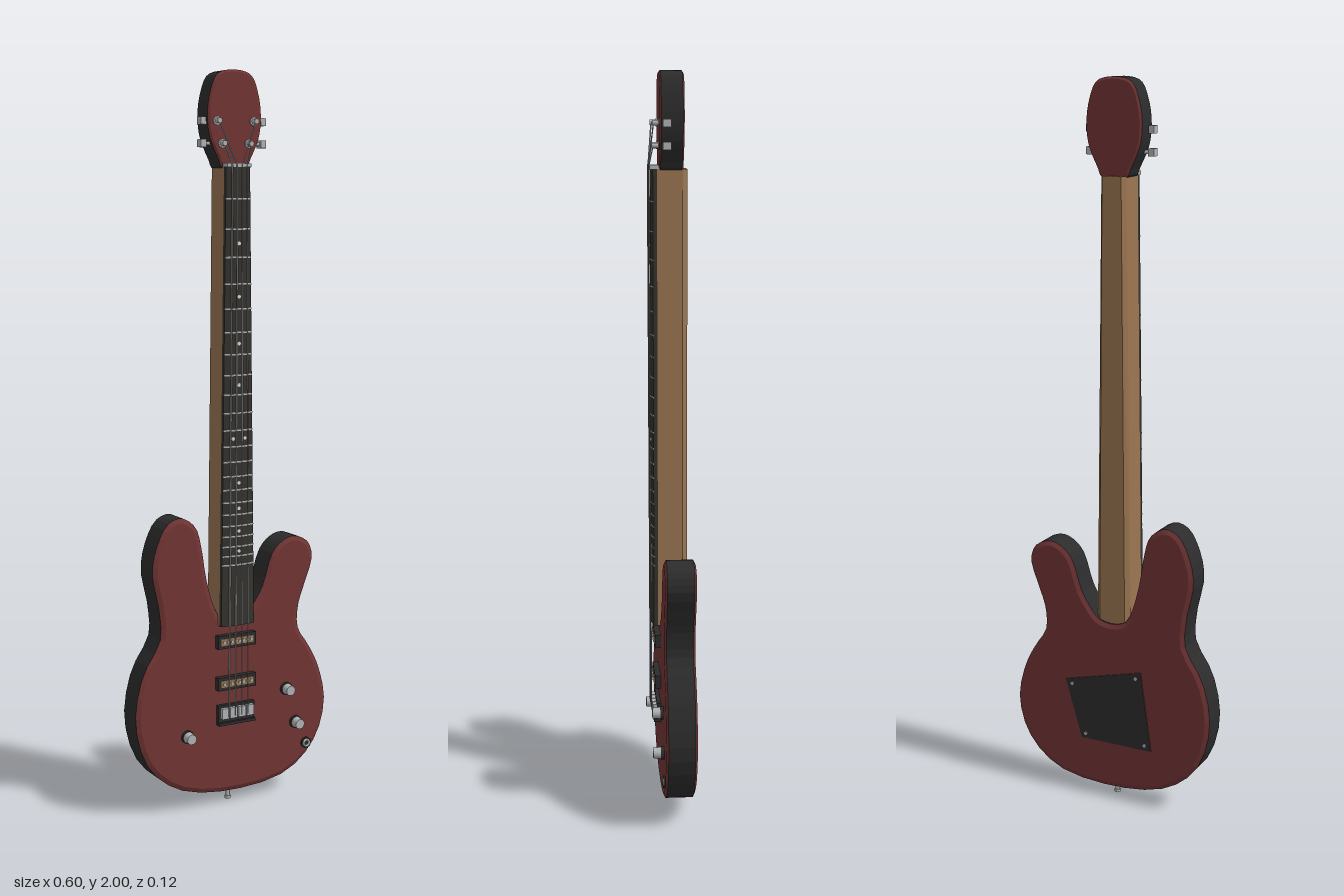
import * as THREE from 'three';

const mat = (name, color) => Object.assign(new THREE.MeshStandardMaterial({ color }), { name });
const V = (x, y, z) => new THREE.Vector3(x, y, z);

export function createModel() {
  const red = mat('red lacquer', 0x733535), black = mat('black', 0x2c2c2c), wood = mat('maple', 0x9c7652);
  const board = mat('dark fretboard', 0x35332e), metal = mat('metal', 0xb2b4b6), pale = mat('inlay white', 0xd8d8d4);
  const model = new THREE.Group();
  model.name = 'electricBass';

  const add = (name, geo, material, x = 0, y = 0, z = 0, parent = model) => {
    const m = new THREE.Mesh(geo, material);
    m.name = name;
    m.position.set(x, y, z);
    parent.add(m);
    return m;
  };
  const group = (name) => {
    const g = new THREE.Group();
    g.name = name;
    model.add(g);
    return g;
  };
  const box = (w, h, d) => new THREE.BoxGeometry(w, h, d);
  // Cylinder whose axis points to the front
  const disc = (r, d, n = 16) => new THREE.CylinderGeometry(r, r, d, n).rotateX(Math.PI / 2);
  // Thin round bar between two points
  const rod = (name, a, b, r, material, parent, n = 6) => {
    const m = add(name, new THREE.CylinderGeometry(r, r, a.distanceTo(b), n), material, 0, 0, 0, parent);
    m.position.copy(a).add(b).multiplyScalar(0.5);
    m.quaternion.setFromUnitVectors(V(0, 1, 0), b.clone().sub(a).normalize());
  };
  const smoothShape = (pts, n) => {
    const curve = new THREE.CatmullRomCurve3(pts.map(([x, y]) => V(x, y, 0)), true);
    return new THREE.Shape(curve.getPoints(n).slice(0, -1).map((p) => new THREE.Vector2(p.x, p.y)));
  };
  // Bevelled slab from z0 to z1: faces and bevels get material 0, upright sides material 1
  const slab = (shape, z0, z1, bevel, size) => {
    const geo = new THREE.ExtrudeGeometry(shape, {
      depth: z1 - z0 - 2 * bevel, bevelThickness: bevel, bevelSize: size, bevelOffset: -size, bevelSegments: 1,
    }).translate(0, 0, z0 + bevel);
    geo.clearGroups();
    const nrm = geo.attributes.normal;
    let start = 0;
    const kind = (i) => (Math.abs(nrm.getZ(i)) > 0.25 ? 0 : 1);
    for (let i = 3; i <= nrm.count; i += 3) {
      if (i === nrm.count || kind(i) !== kind(start)) {
        geo.addGroup(start, i - start, kind(start));
        start = i;
      }
    }
    return geo;
  };
  // Half width of the tapering neck at a height
  const NUT = 1.75, END = 0.515, BRIDGE = 0.27;
  const halfWidth = (y) => THREE.MathUtils.mapLinear(y, END, NUT, 0.051, 0.036);
  // Cross-section of [x as a share of half width, z] swept up the taper
  const tapered = (section, y0, y1) => {
    const shape = new THREE.Shape(section.map(([x, z]) => new THREE.Vector2(x, -z)));
    const geo = new THREE.ExtrudeGeometry(shape, { depth: y1 - y0, bevelEnabled: false })
      .rotateX(-Math.PI / 2).translate(0, y0, 0);
    const p = geo.attributes.position;
    for (let i = 0; i < p.count; i++) p.setX(i, p.getX(i) * halfWidth(p.getY(i)));
    geo.computeVertexNormals();
    return geo;
  };

  // Body with two horns and a neck pocket
  const outline = [
    [0, 0.525], [0.04, 0.535], [0.066, 0.565], [0.093, 0.61], [0.122, 0.695], [0.152, 0.727], [0.19, 0.74],
    [0.237, 0.72], [0.252, 0.675], [0.228, 0.6], [0.208, 0.54], [0.207, 0.475], [0.242, 0.42], [0.275, 0.355],
    [0.297, 0.25], [0.265, 0.14], [0.175, 0.06], [0, 0.035], [-0.165, 0.063], [-0.26, 0.14], [-0.3, 0.27],
    [-0.278, 0.4], [-0.225, 0.495], [-0.228, 0.58], [-0.247, 0.68], [-0.232, 0.755], [-0.2, 0.81],
    [-0.16, 0.823], [-0.118, 0.795], [-0.1, 0.74], [-0.085, 0.65], [-0.06, 0.565], [-0.04, 0.535],
  ];
  add('body', slab(smoothShape(outline, 90), -0.057, 0.027, 0.006, 0.0125), [red, black]);

  // Headstock
  const head = [
    [0, 2], [0.05, 1.988], [0.072, 1.94], [0.08, 1.88], [0.073, 1.825], [0.048, 1.77], [0.036, 1.747],
    [-0.036, 1.747], [-0.048, 1.77], [-0.073, 1.825], [-0.08, 1.88], [-0.072, 1.94], [-0.05, 1.988],
  ];
  add('headstock', slab(smoothShape(head, 48), -0.035, 0.029, 0.004, 0.006), [red, black]);

  // Neck and slightly domed fretboard
  add('neck', tapered([[-1, 0.034], [-1, -0.033], [-0.76, -0.046], [0.76, -0.046], [1, -0.033], [1, 0.034]], END, NUT), wood);
  const dome = [[1, 0.034], [1, 0.045], [0.6, 0.049], [0.2, 0.051], [-0.2, 0.051], [-0.6, 0.049], [-1, 0.045], [-1, 0.034]];
  add('fretboard', tapered(dome, END, NUT + 0.002), board);
  add('nut', box(0.072, 0.01, 0.026), metal, 0, NUT + 0.004, 0.04);

  // Frets follow the dome; inlays sit between them
  const frets = group('frets');
  const fretY = (n) => BRIDGE + (NUT - BRIDGE) * 2 ** (-n / 12);
  const wire = dome.slice(1, 7).map(([x, z]) => [x, z + 0.0015]).concat([[-1, 0.044], [1, 0.044]]);
  for (let n = 1; n <= 22; n++) add('fret', tapered(wire, fretY(n) - 0.002, fretY(n) + 0.002), metal, 0, 0, 0, frets);
  const inlays = group('inlays');
  for (const n of [3, 5, 7, 9, 12, 15, 17, 19, 21]) {
    for (const x of n === 12 ? [-0.018, 0.018] : [0]) {
      add('inlay', disc(0.005, 0.004, 10), pale, x, fretY(n - 0.5), 0.05, inlays);
    }
  }

  // Pickups: dark frame, tan cover, pole pieces
  for (const y of [0.47, 0.352]) {
    const g = group('pickup');
    add('pickupFrame', box(0.118, 0.037, 0.018), black, 0, y, 0.034, g);
    add('pickupCover', box(0.1, 0.019, 0.008), wood, 0, y, 0.041, g);
    for (let i = 0; i < 8; i++) add('polePiece', disc(0.004, 0.004, 8), metal, -0.042 + i * 0.012, y, 0.046, g);
  }

  // Bridge with four saddles
  const bridge = group('bridge');
  add('bridgePlate', box(0.114, 0.056, 0.012), black, 0, 0.262, 0.032, bridge);
  add('bridgeLip', box(0.114, 0.008, 0.02), black, 0, 0.238, 0.036, bridge);
  for (let i = 0; i < 4; i++) add('saddle', box(0.022, 0.03, 0.012), metal, -0.039 + i * 0.026, 0.268, 0.043, bridge);

  // Tuners on both sides of the headstock
  const posts = [[-0.04, 1.81], [-0.055, 1.868], [0.055, 1.868], [0.04, 1.81]];
  for (const [x, y] of posts) {
    const g = group('tuner'), s = Math.sign(x);
    add('tunerBushing', disc(0.011, 0.004, 12), metal, x, y, 0.03, g);
    add('tunerPost', disc(0.007, 0.02, 12), metal, x, y, 0.038, g);
    rod('tunerShaft', V(s * 0.06, y, 0.011), V(s * 0.085, y, 0.011), 0.005, metal, g, 8);
    add('tunerKey', box(0.016, 0.02, 0.022), metal, s * 0.09, y, 0.011, g);
  }

  // Strings from bridge to nut to post
  const strings = group('strings');
  posts.forEach(([x, y], i) => {
    const t = i - 1.5, r = 0.0022 - i * 0.0003;
    const nut = V(t * 0.015, NUT + 0.004, 0.055);
    rod('string', V(t * 0.02, BRIDGE - 0.01, 0.051), nut, r, metal, strings);
    rod('stringEnd', nut, V(x, y, 0.044), r, metal, strings);
  });

  // Control knobs and output jack
  for (const [x, y] of [[-0.148, 0.215], [0.165, 0.305], [0.196, 0.203]]) {
    const g = group('knob');
    add('knobBase', disc(0.018, 0.01), black, x, y, 0.031, g);
    add('knobCap', new THREE.CylinderGeometry(0.014, 0.016, 0.022, 16).rotateX(Math.PI / 2), metal, x, y, 0.046, g);
  }
  const jack = group('jack');
  add('jackPlate', disc(0.016, 0.006), black, 0.232, 0.135, 0.029, jack);
  add('jackRing', new THREE.TorusGeometry(0.009, 0.003, 6, 16), metal, 0.232, 0.135, 0.032, jack);

  // Strap pin under the body
  rod('strapPin', V(0, 0.05, -0.012), V(0, 0.006, -0.012), 0.006, metal, model, 12);
  rod('strapPinHead', V(0, 0.008, -0.012), V(0, 0, -0.012), 0.009, metal, model, 12);

  // Rear cover with red edge and corner screws
  const corners = [[0.14, 0.34], [-0.094, 0.4], [-0.127, 0.17], [0.09, 0.17]];
  const cover = new THREE.Shape(corners.map(([x, y]) => new THREE.Vector2(x, y)));
  add('rearCover', new THREE.ExtrudeGeometry(cover, { depth: 0.004, bevelEnabled: false }), [black, red], 0, 0, -0.06);
  for (const [x, y] of corners) {
    add('coverScrew', disc(0.005, 0.004, 10), metal, x * 0.85, 0.27 + (y - 0.27) * 0.85, -0.061);
  }
  return model;
}
